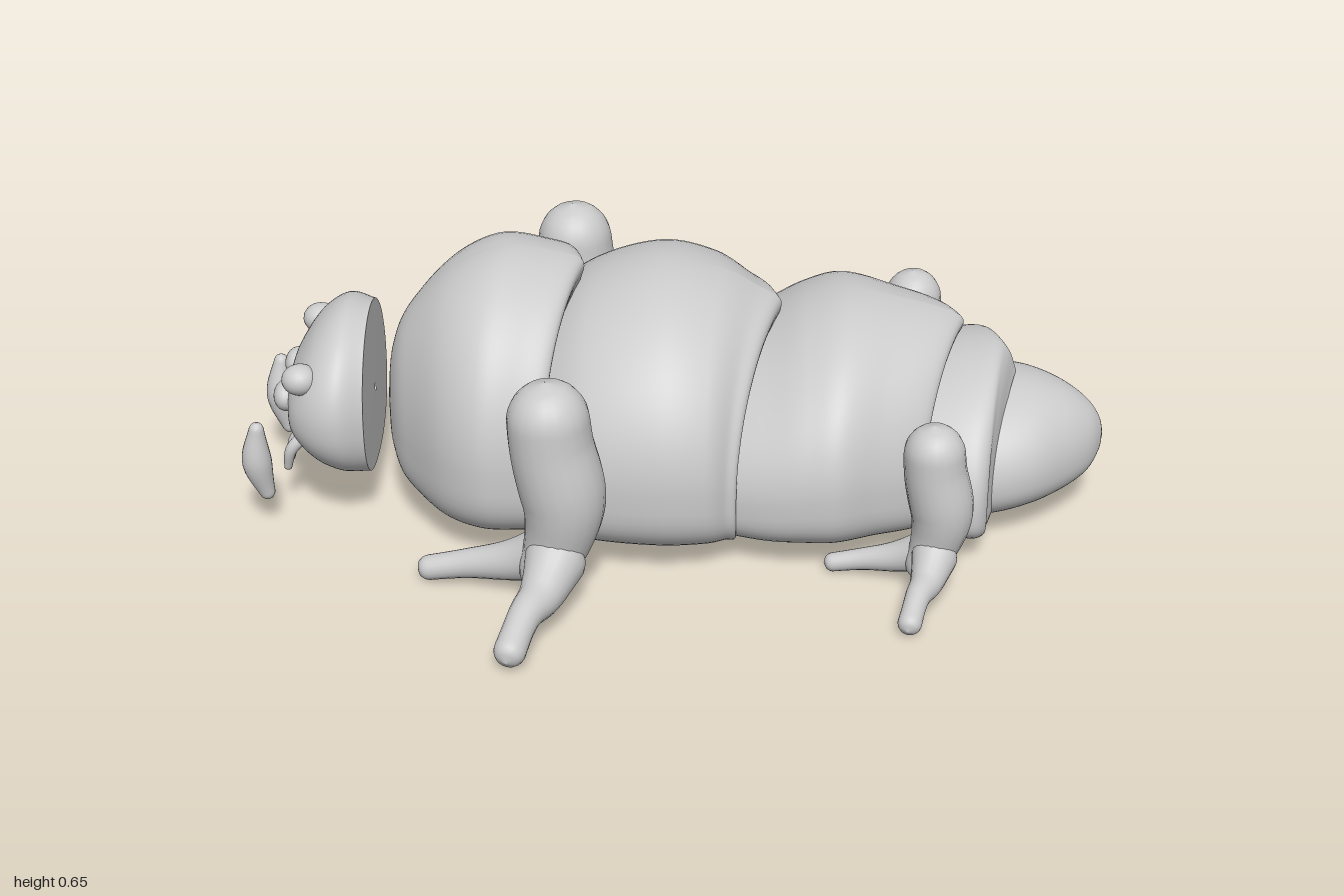
import * as THREE from 'three';
import { ParametricGeometry } from 'three/addons/geometries/ParametricGeometry.js';

const material = new THREE.MeshStandardMaterial({ color: 0xcccccc, side: THREE.DoubleSide });

function addMesh(parent, name, geometry) {
  const mesh = new THREE.Mesh(geometry, material);
  mesh.name = name;
  parent.add(mesh);
  return mesh;
}

// Shell lofted along x. Stations: [x, top, bottom, half width].
// mid: height fraction of the widest line; sweep: how far the sides of the rear rim lag behind the ridge;
// square: below 1 flattens the underside.
function shell(stations, { mid = 0.35, sweep = 0, square = 0.6, slices = 48 } = {}) {
  const spline = (f) => new THREE.CatmullRomCurve3(stations.map(f), false, 'catmullrom', 0.5);
  const heights = spline((s) => new THREE.Vector3(s[0], s[1], s[2]));
  const widths = spline((s) => new THREE.Vector3(s[0], s[3], 0));
  const p = new THREE.Vector3(), q = new THREE.Vector3();
  const pow = (v, e) => Math.sign(v) * Math.pow(Math.abs(v), e);
  return new ParametricGeometry((u, v, target) => {
    heights.getPoint(u, p);
    widths.getPoint(u, q);
    const a = v * Math.PI * 2, c = Math.cos(a), s = Math.sin(a);
    const centre = p.z + (p.y - p.z) * mid;
    const e = c < 0 ? square : 1;
    const y = centre + pow(c, e) * (c < 0 ? centre - p.z : p.y - centre);
    const lag = (c < 0 ? 1 : Math.abs(s)) * THREE.MathUtils.smoothstep(u, 0.3, 0.85);
    target.set(p.x - sweep * lag, y, -q.y * pow(s, e));
  }, slices, 72);
}

// Round-ended tube whose radius varies along its path
function limb(points, radii, segments = 48) {
  const curve = new THREE.CatmullRomCurve3(points.map((p) => new THREE.Vector3(...p)));
  const sides = 20, length = curve.getLength();
  const geometry = new THREE.TubeGeometry(curve, segments, 1, sides);
  const profile = new THREE.SplineCurve(radii.map((r, i) => new THREE.Vector2(i, r)));
  const pos = geometry.attributes.position, v = new THREE.Vector3();
  for (let i = 0; i <= segments; i++) {
    const u = i / segments, centre = curve.getPointAt(u);
    let r = profile.getPoint(u).y;
    const d = Math.min(u, 1 - u) * length;
    if (d < r) r = Math.sqrt(Math.max(r * r - (r - d) ** 2, 1e-8));
    for (let j = 0; j <= sides; j++) {
      const k = i * (sides + 1) + j;
      v.fromBufferAttribute(pos, k).sub(centre).multiplyScalar(r).add(centre);
      pos.setXYZ(k, v.x, v.y, v.z);
    }
  }
  geometry.computeVertexNormals();
  // Close the normal seam along the tube
  const n = geometry.attributes.normal, b = new THREE.Vector3();
  for (let i = 0; i <= segments; i++) {
    const k = i * (sides + 1);
    v.fromBufferAttribute(n, k).add(b.fromBufferAttribute(n, k + sides)).normalize();
    n.setXYZ(k, v.x, v.y, v.z);
    n.setXYZ(k + sides, v.x, v.y, v.z);
  }
  return geometry;
}

// Stout post with a forward toe and an outward toe
function makeLeg(name, x, z, scale, side) {
  const leg = new THREE.Group();
  leg.name = name;
  const place = (pts) => pts.map((p) => [x + p[0] * scale, p[1] * scale, side * (z + p[2] * scale)]);
  const part = (label, pts, radii) =>
    addMesh(leg, label, limb(place(pts), radii.map((r) => r * scale)));
  part('legPost',
    [[-0.02, 0.545, 0], [-0.01, 0.4, 0], [0.015, 0.25, 0], [-0.01, 0.13, 0], [-0.06, 0.04, 0.02]],
    [0.088, 0.092, 0.095, 0.075, 0.05]);
  part('forwardToe',
    [[0.02, 0.13, -0.01], [-0.11, 0.075, -0.05], [-0.21, 0.05, -0.075], [-0.325, 0.025, -0.09]],
    [0.075, 0.05, 0.034, 0.028]);
  part('outerToe',
    [[0.01, 0.15, -0.01], [-0.03, 0.09, 0.12], [-0.06, 0.08, 0.19], [-0.095, 0.03, 0.305]],
    [0.08, 0.055, 0.036, 0.036]);
  return leg;
}

export function createModel() {
  const model = new THREE.Group();
  model.name = 'armouredCrawler';

  // Overlapping body plates, front to rear
  addMesh(model, 'frontPlate', shell([
    [-0.675, 0.29, 0.22, 0.02], [-0.66, 0.40, 0.15, 0.10], [-0.62, 0.49, 0.09, 0.19],
    [-0.52, 0.595, 0.05, 0.31], [-0.4, 0.648, 0.035, 0.37], [-0.28, 0.635, 0.03, 0.365],
    [-0.215, 0.61, 0.03, 0.355], [-0.225, 0.55, 0.05, 0.31]], { sweep: 0.08 }));
  addMesh(model, 'middlePlate', shell([
    [-0.32, 0.48, 0.04, 0.33], [-0.2, 0.575, 0.03, 0.40], [-0.04, 0.622, 0.025, 0.43],
    [0.1, 0.597, 0.025, 0.415], [0.19, 0.55, 0.025, 0.385], [0.24, 0.515, 0.025, 0.37],
    [0.225, 0.45, 0.05, 0.32]], { sweep: 0.1 }));
  addMesh(model, 'rearPlate', shell([
    [0.06, 0.40, 0.04, 0.33], [0.2, 0.465, 0.03, 0.38], [0.3, 0.52, 0.03, 0.40],
    [0.4, 0.545, 0.03, 0.40], [0.52, 0.525, 0.03, 0.36], [0.655, 0.48, 0.03, 0.30],
    [0.64, 0.41, 0.05, 0.26]], { sweep: 0.1 }));
  addMesh(model, 'tailPlate', shell([
    [0.45, 0.36, 0.05, 0.27], [0.6, 0.40, 0.04, 0.32], [0.68, 0.415, 0.03, 0.335],
    [0.74, 0.418, 0.03, 0.31], [0.77, 0.395, 0.035, 0.28], [0.79, 0.34, 0.05, 0.22]],
    { sweep: 0.06, mid: 0.28 }));
  addMesh(model, 'tail', shell([
    [0.6, 0.33, 0.04, 0.26], [0.72, 0.335, 0.035, 0.245], [0.82, 0.33, 0.05, 0.21],
    [0.9, 0.305, 0.07, 0.15], [0.96, 0.265, 0.10, 0.09], [0.99, 0.225, 0.14, 0.04],
    [1.0, 0.19, 0.17, 0.005]], { mid: 0.4, square: 0.8 }));

  // Domed head with a flat back
  const head = new THREE.Group();
  head.name = 'head';
  model.add(head);
  addMesh(head, 'headDome', shell([
    [-0.905, 0.29, 0.27, 0.01], [-0.9, 0.33, 0.22, 0.10], [-0.88, 0.385, 0.19, 0.175],
    [-0.83, 0.46, 0.14, 0.225], [-0.77, 0.5, 0.11, 0.24], [-0.71, 0.49, 0.1, 0.21]],
    { mid: 0.45, square: 0.85 }));
  addMesh(head, 'headBack', shell([[-0.71, 0.49, 0.1, 0.21], [-0.709, 0.29, 0.27, 0.005]],
    { mid: 0.45, square: 0.85, slices: 4 }));

  for (const [label, side] of [['left', -1], ['right', 1]].map(([l, s]) => [s < 0 ? 'far' : 'near', s])) {
    // Eyes
    for (const [name, x, y, z, sx, sy, sz] of [
      ['UpperEye', -0.855, 0.38, 0.165, 0.042, 0.036, 0.04],
      ['LowerEye', -0.903, 0.3, 0.085, 0.03, 0.036, 0.045]]) {
      const eye = addMesh(head, label + name, new THREE.SphereGeometry(1, 24, 16));
      eye.position.set(x, y, z * side);
      eye.scale.set(sx, sy, sz);
    }
    // Floating jaw blades and small mouth feelers
    addMesh(head, label + 'Jaw', limb(
      [[-0.96, 0.275, 0.18 * side], [-0.967, 0.17, 0.172 * side], [-0.945, 0.07, 0.165 * side]],
      [0.015, 0.034, 0.016]));
    for (const z of [0.03, 0.08]) {
      addMesh(head, label + 'Feeler', limb(
        [[-0.86, 0.2, z * side], [-0.9, 0.16, (z + 0.01) * side], [-0.915, 0.1, z * side]],
        [0.016, 0.014, 0.009], 20));
    }
    // Legs
    model.add(makeLeg(label + 'FrontLeg', -0.25, 0.49, 1, side));
    model.add(makeLeg(label + 'RearLeg', 0.585, 0.41, 0.75, side));
  }
  return model;
}
